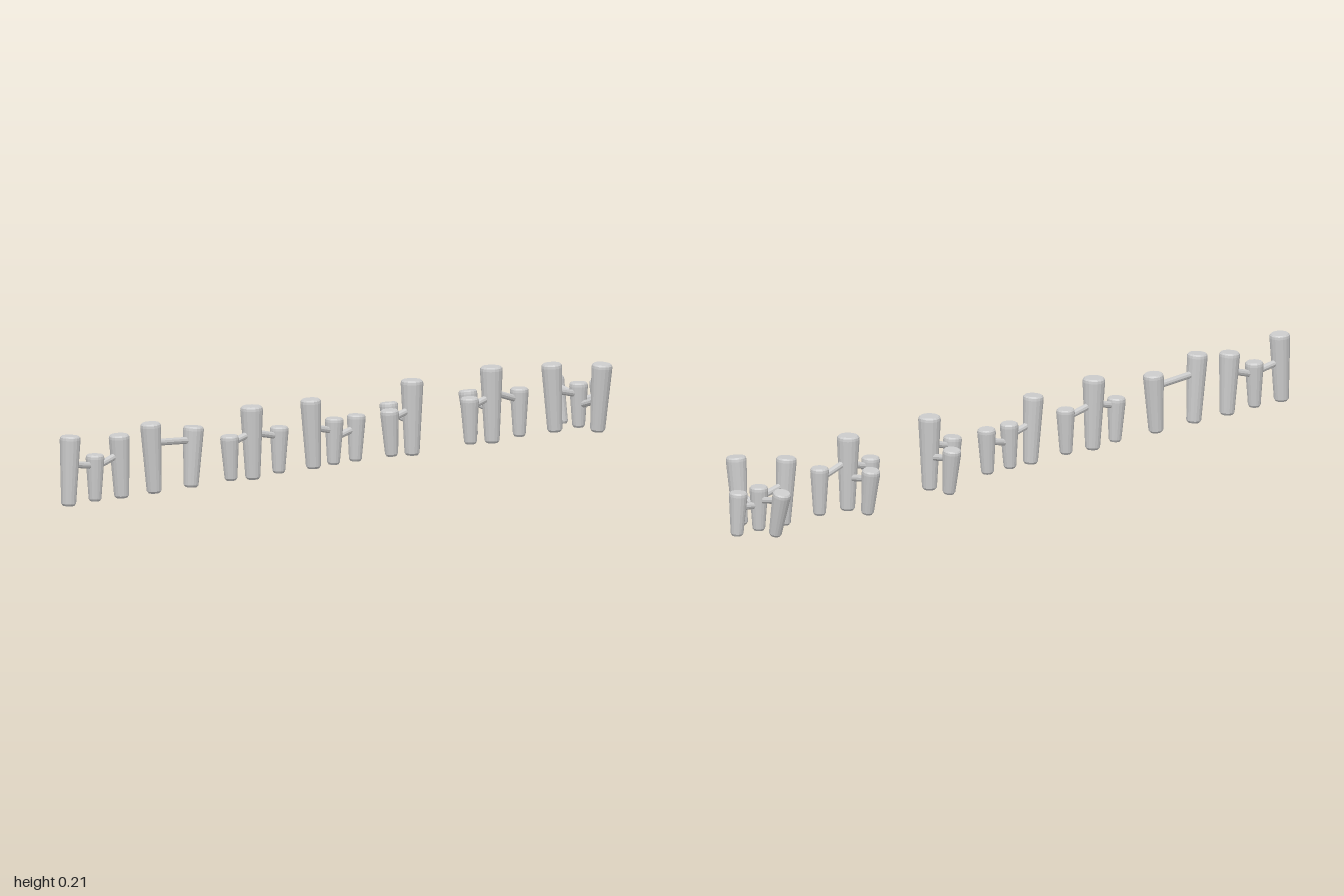
import * as THREE from 'three';

const material = new THREE.MeshStandardMaterial({ color: 0xcccccc, flatShading: true });
const UP = new THREE.Vector3(0, 1, 0);

// The three sizes of post; joint is the usual height where a bar meets it
const SMALL = { top: 0.141, bottom: 0.013, rTop: 0.0255, rBottom: 0.0175, joint: 0.114 };
const LARGE = { top: 0.203, bottom: 0.011, rTop: 0.0285, rBottom: 0.0205, joint: 0.125 };
const TALL = { top: 0.215, bottom: 0.007, rTop: 0.031, rBottom: 0.0205, joint: 0.136 };

// Lay a y-aligned mesh along the line from a to b
function align(mesh, a, b) {
  mesh.position.copy(a);
  mesh.quaternion.setFromUnitVectors(UP, b.clone().sub(a).normalize());
  return mesh;
}

// Tapered post with small bevels at both ends; leans are how far the top moves out from the foot
function addPost(cluster, size, x, { top = size.top, leanX = 0, z = 0, leanZ = 0 } = {}) {
  const { rTop, rBottom } = size;
  const foot = new THREE.Vector3(x - leanX, size.bottom, z - leanZ);
  const head = new THREE.Vector3(x, top, z);
  const h = head.distanceTo(foot);
  const profile = [
    [0, 0], [rBottom * 0.78, 0], [rBottom, 0.006],
    [rTop, h - 0.011], [rTop * 0.97, h - 0.004], [rTop * 0.84, h], [0, h],
  ].map(([r, y]) => new THREE.Vector2(r, y));
  const mesh = new THREE.Mesh(new THREE.LatheGeometry(profile, 16), material);
  mesh.name = 'post';
  cluster.add(align(mesh, foot, head));
  // Point on the post's axis at a given height
  const at = (y) => foot.clone().lerp(head, (y - foot.y) / (head.y - foot.y));
  return { at, joint: size.joint };
}

// Round bar joining two posts
function addBar(cluster, a, b, ya = a.joint, yb = b.joint) {
  const start = a.at(ya), end = b.at(yb);
  const len = start.distanceTo(end);
  const geo = new THREE.CylinderGeometry(0.0095, 0.0095, len, 10).translate(0, len / 2, 0);
  const mesh = new THREE.Mesh(geo, material);
  mesh.name = 'crossBar';
  cluster.add(align(mesh, start, end));
}

export function createModel() {
  const model = new THREE.Group();
  model.name = 'postClusters';
  const addCluster = (name, z) => {
    const cluster = new THREE.Group();
    cluster.name = name;
    cluster.position.z = z;
    model.add(cluster);
    return cluster;
  };

  // Small post between two large ones
  const valley = addCluster('valleyCluster', -0.015);
  const v1 = addPost(valley, LARGE, -0.972, { leanX: 0.006 });
  const v2 = addPost(valley, SMALL, -0.88);
  const v3 = addPost(valley, LARGE, -0.791, { top: 0.186, leanX: -0.01 });
  addBar(valley, v1, v2, 0.125, 0.11);
  addBar(valley, v2, v3, 0.105, 0.133);

  // Two large posts
  const pair = addCluster('pairCluster', -0.012);
  const p1 = addPost(pair, LARGE, -0.677, { top: 0.205, leanX: -0.014 });
  const p2 = addPost(pair, LARGE, -0.517, { top: 0.178, leanX: 0.01 });
  addBar(pair, p1, p2, 0.15, 0.14);

  // Tall post between two small ones
  const peak = addCluster('peakCluster', -0.01);
  const k1 = addPost(peak, SMALL, -0.386, { top: 0.137, leanX: -0.006 });
  const k2 = addPost(peak, TALL, -0.304, { top: 0.209, leanX: -0.005 });
  const k3 = addPost(peak, SMALL, -0.201, { leanX: 0.002 });
  addBar(peak, k1, k2);
  addBar(peak, k2, k3);

  // Large post followed by two small ones
  const row = addCluster('rowCluster', -0.01);
  const r1 = addPost(row, LARGE, -0.085, { leanX: -0.011 });
  const r2 = addPost(row, SMALL, 0.003, { leanX: 0.003 });
  const r3 = addPost(row, SMALL, 0.085, { leanX: 0.004 });
  addBar(row, r1, r2, 0.125, 0.105);
  addBar(row, r2, r3, 0.085, 0.105);

  // Tall corner post with small posts beside and behind it
  const corner = addCluster('cornerCluster', -0.002);
  const c1 = addPost(corner, SMALL, 0.2, { leanX: -0.008 });
  const c2 = addPost(corner, TALL, 0.284);
  const c3 = addPost(corner, SMALL, 0.284, { z: -0.094, leanZ: -0.014 });
  addBar(corner, c1, c2);
  addBar(corner, c2, c3, 0.098, 0.115);

  // Tall post with small posts on three sides
  const tee = addCluster('teeCluster', -0.001);
  const t1 = addPost(tee, SMALL, 0.496, { leanX: -0.004 });
  const t2 = addPost(tee, TALL, 0.577, { top: 0.218, leanX: -0.003 });
  const t3 = addPost(tee, SMALL, 0.681, { top: 0.147 });
  const t4 = addPost(tee, SMALL, 0.577, { z: -0.095, leanZ: -0.016 });
  addBar(tee, t1, t2);
  addBar(tee, t2, t3, 0.147);
  addBar(tee, t2, t4, 0.098, 0.115);

  // Small post with neighbours on all four sides
  const cross = addCluster('crossCluster', 0);
  const x1 = addPost(cross, LARGE, 0.8, { top: 0.2, leanX: -0.012 });
  const x2 = addPost(cross, SMALL, 0.9, { top: 0.137 });
  const x3 = addPost(cross, SMALL, 0.974, { top: 0.135, leanX: -0.005 });
  const x4 = addPost(cross, LARGE, 0.899, { top: 0.2, z: 0.096, leanZ: 0.019 });
  const x5 = addPost(cross, SMALL, 0.9, { z: -0.097, leanZ: -0.03 });
  addBar(cross, x1, x2, 0.126, 0.104);
  addBar(cross, x2, x3, 0.084, 0.092);
  addBar(cross, x4, x2, 0.1, 0.073);
  addBar(cross, x2, x5, 0.098, 0.116);

  return model;
}
